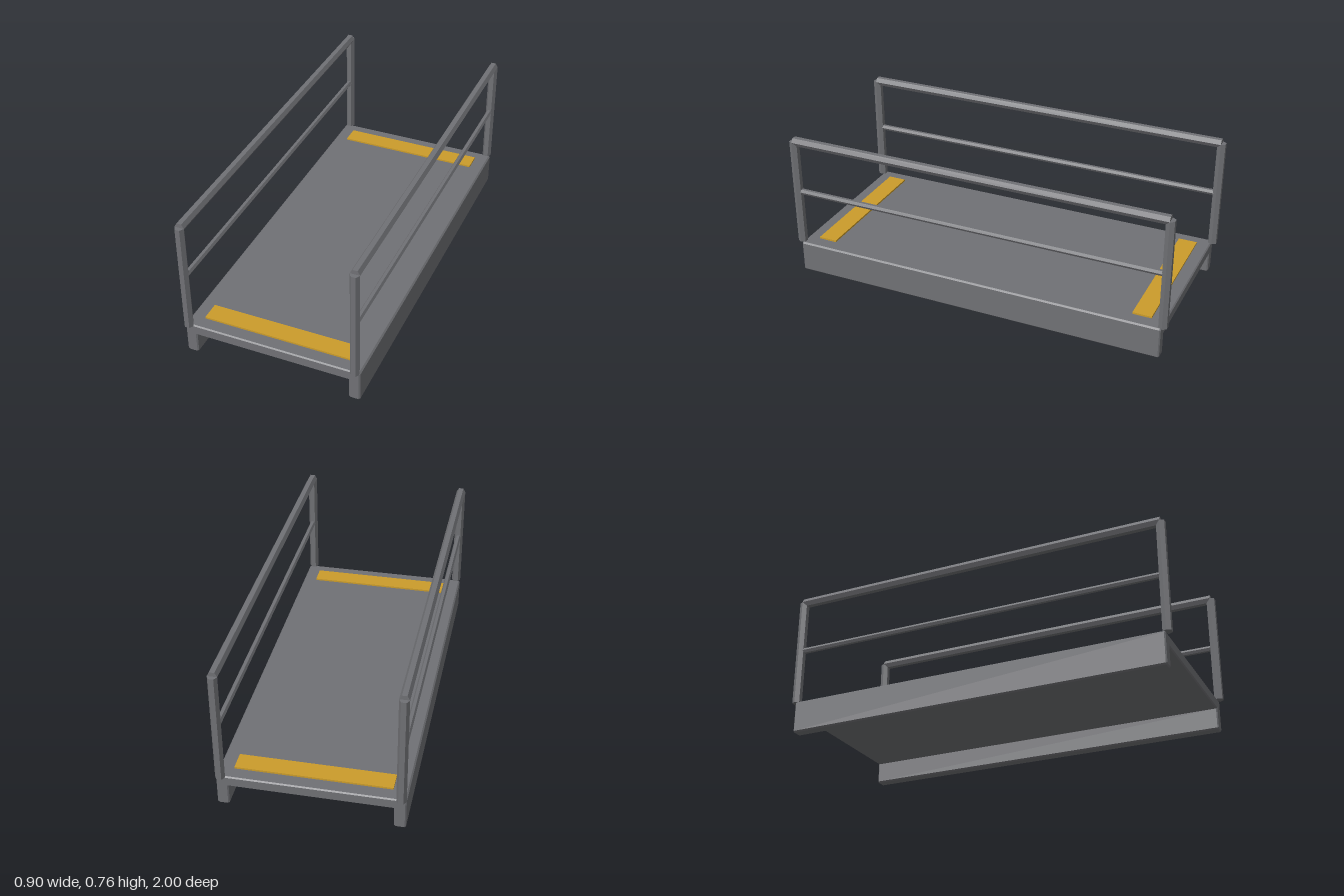
import * as THREE from 'three';

export function createModel() {
  const model = new THREE.Group();
  const steel = new THREE.MeshStandardMaterial({ color: 0x707175 });
  steel.name = 'grey steel';
  const yellow = new THREE.MeshStandardMaterial({ color: 0xcb9c2b });
  yellow.name = 'safety yellow';

  const add = (name, geometry, material, x, y, z) => {
    const flat = geometry.index ? geometry.toNonIndexed() : geometry;
    flat.computeVertexNormals(); // faceted look
    const mesh = new THREE.Mesh(flat, material);
    mesh.name = name;
    mesh.position.set(x, y, z);
    model.add(mesh);
  };

  // Hexagonal bar with its corners pointing along x
  const hexBar = (radius, length) =>
    new THREE.CylinderGeometry(radius, radius, length, 6, 1, false, Math.PI / 2);

  // Deck and side beams: one channel profile with chamfered corners and ends
  const bevel = 0.006, W = 0.447 - bevel, top = 0.167 - bevel;
  const inner = 0.39 + bevel, under = 0.111 + bevel, foot = 0.002 + bevel, c = 0.004;
  const half = [
    [inner, under], [inner, foot + c], [inner + c, foot], [W - c, foot],
    [W, foot + c], [W, top - c], [W - c, top],
  ];
  const mirrored = half.map(([x, y]) => [-x, y]).reverse();
  const profile = new THREE.Shape([...half, ...mirrored].map(([x, y]) => new THREE.Vector2(x, y)));
  const halfLength = 0.974;
  const deck = new THREE.ExtrudeGeometry(profile, {
    depth: 2 * (halfLength - bevel), bevelEnabled: true,
    bevelThickness: bevel, bevelSize: bevel, bevelSegments: 1,
  });
  deck.translate(0, -0.002, -(halfLength - bevel));
  add('deck', deck, steel, 0, 0, 0);

  // Handrails on both sides
  const railX = 0.424, postZ = 0.979, base = 0.166, railY = 0.737;
  for (const [side, s] of [['left', 1], ['right', -1]]) {
    for (const [end, e] of [['Front', 1], ['Back', -1]]) {
      add(`${side}${end}Post`, hexBar(0.024, railY - base), steel,
        s * railX, (railY + base) / 2, e * postZ);
    }
    add(`${side}TopRail`, hexBar(0.024, 2 * postZ).rotateX(Math.PI / 2), steel, s * railX, railY, 0);
    add(`${side}MidRail`, hexBar(0.015, 2 * postZ).rotateX(Math.PI / 2), steel, s * railX, 0.457, 0);
  }

  // Warning strips across both ends of the deck
  for (const [end, e] of [['front', 1], ['back', -1]]) {
    add(`${end}WarningStrip`, new THREE.BoxGeometry(0.752, 0.009, 0.096), yellow, 0, 0.1695, e * 0.86);
  }
  return model;
}
